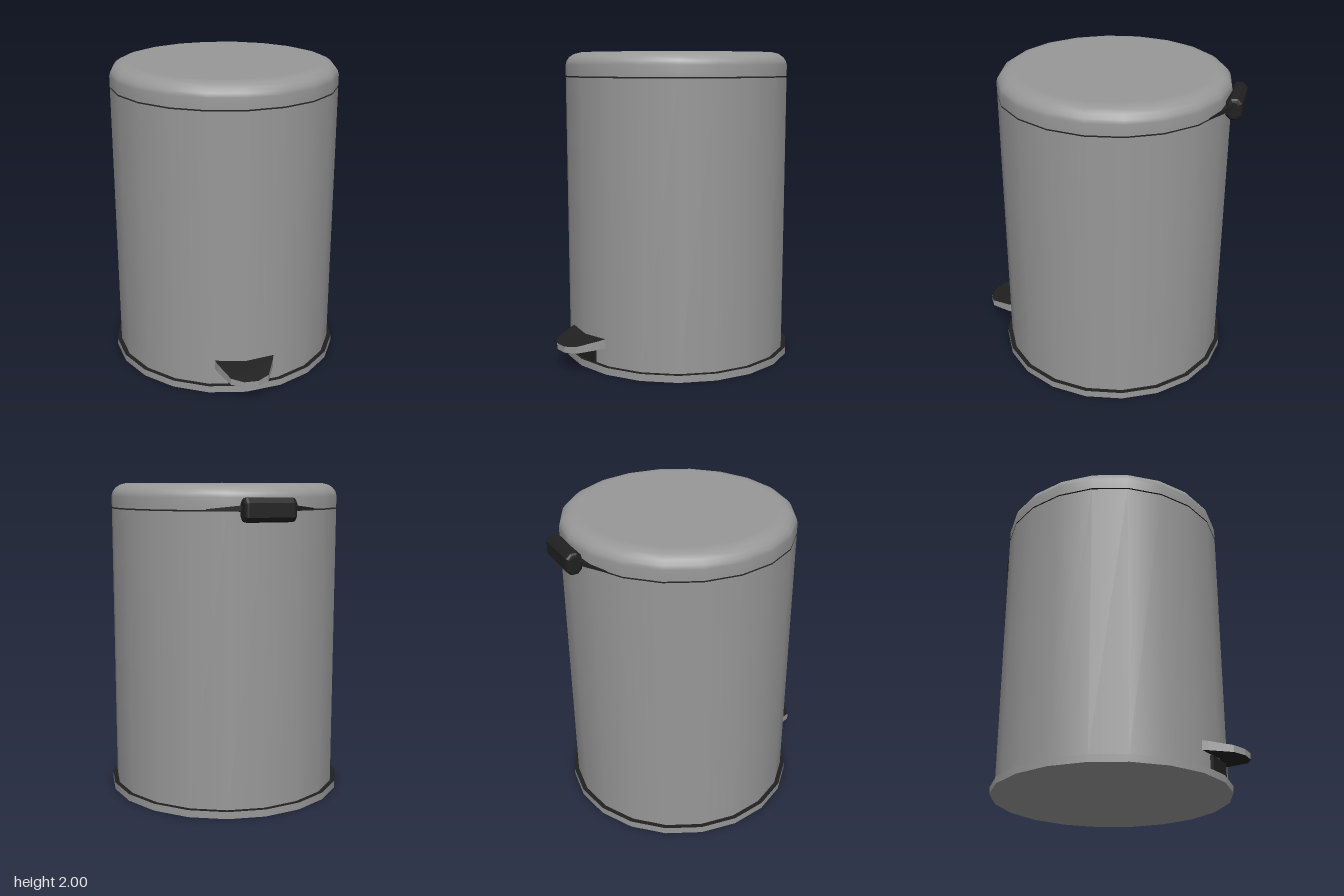
import * as THREE from 'three';

const SIDES = 20, R = 0.735;

const steel = new THREE.MeshStandardMaterial({ color: 0x989898 });
steel.name = 'grey steel';
const black = new THREE.MeshStandardMaterial({ color: 0x202020 });
black.name = 'black plastic';

export function createModel() {
  const model = new THREE.Group();
  const bin = new THREE.Group();
  bin.name = 'pedalBin';
  bin.position.z = -0.05;
  bin.rotation.y = 0.026;
  model.add(bin);

  const add = (name, geometry, material, x = 0, y = 0, z = 0) => {
    const mesh = new THREE.Mesh(geometry, material);
    mesh.name = name;
    mesh.position.set(x, y, z);
    bin.add(mesh);
    return mesh;
  };

  // Upright drum between two heights
  const drum = (r, y0, y1) =>
    new THREE.CylinderGeometry(r, r, y1 - y0, SIDES).translate(0, (y0 + y1) / 2, 0);

  // Mirrored plan outline [x, z], with sloping underside and top given by z
  const slab = (half, low, high) => {
    const right = half.map(([x, z]) => new THREE.Vector2(x, -z));
    const left = half.map(([x, z]) => new THREE.Vector2(-x, -z)).reverse();
    const g = new THREE.ExtrudeGeometry(new THREE.Shape([...right, ...left]), { depth: 1, bevelEnabled: false });
    g.rotateX(-Math.PI / 2);
    const p = g.attributes.position;
    for (let i = 0; i < p.count; i++) {
      const z = p.getZ(i);
      p.setY(i, p.getY(i) > 0.5 ? high(z) : low(z));
    }
    g.computeVertexNormals();
    return g;
  };

  // Base ring and body, material order: side, top, bottom
  add('base', drum(0.765, 0, 0.045), [steel, black, steel]);
  add('body', drum(R, 0.045, 1.841), [steel, black, steel]);

  // Rounded lid with a narrow gap under it
  const profile = [[R, 1.85], [R, 1.92], [0.728, 1.945], [0.71, 1.97], [0.68, 1.99], [0.64, 2], [0.61, 2], [0, 2]];
  add('lid', new THREE.LatheGeometry(profile.map(([x, y]) => new THREE.Vector2(x, y)), SIDES), steel);
  add('lidUnderside', new THREE.CircleGeometry(R, SIDES).rotateX(Math.PI / 2), black, 0, 1.85, 0);

  // Hinge: plate in the gap, wedge against the lid, chamfered grip behind
  add('hingePlate', new THREE.BoxGeometry(0.325, 0.012, 0.49), black, 0, 1.8455, -0.495);
  add('hingeWedge', slab([[0.34, -0.645], [0.15, -0.76]],
    () => 1.845, (z) => 1.855 + 0.2 * (-0.645 - z)), black);
  const b = 0.025, w = 0.05 - b, h = 0.07 - b, c = 0.014;
  const octagon = new THREE.Shape([[w, -h + c], [w, h - c], [w - c, h], [-w + c, h],
    [-w, h - c], [-w, -h + c], [-w + c, -h], [w - c, -h]].map(([x, y]) => new THREE.Vector2(x, y)));
  const grip = new THREE.ExtrudeGeometry(octagon, {
    depth: 0.325 - 2 * b, bevelEnabled: true, bevelThickness: b, bevelSize: b, bevelSegments: 3,
  });
  grip.center().rotateY(Math.PI / 2);
  add('hingeGrip', grip, black, 0, 1.85, -0.766);

  // Pedal with black tread and steel edges, on a black stem
  add('pedal', slab([[0.195, 0.69], [0.18, 0.74], [0.12, 0.875], [0.045, 0.917]],
    (z) => 0.155 - 0.11 * (z - 0.7), (z) => 0.216 - 0.21 * (z - 0.7)), [black, steel]);
  add('pedalStem', new THREE.BoxGeometry(0.21, 0.1, 0.08), black, 0, 0.094, 0.698);

  return model;
}
